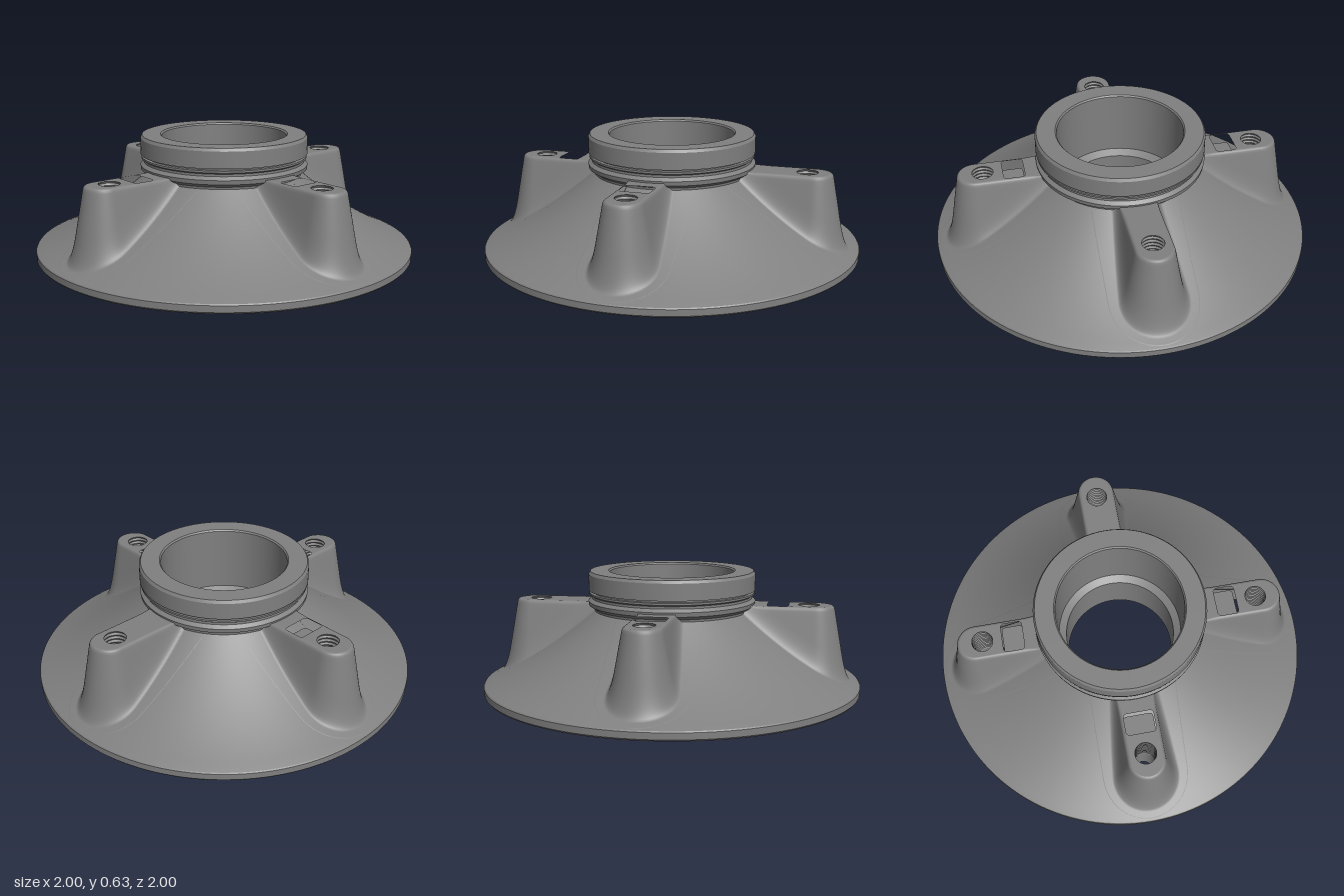
import * as THREE from 'three';
import { toCreasedNormals } from 'three/addons/utils/BufferGeometryUtils.js';

const TOP = 0.462;       // height of the lug tops
const ARM = 0.76;        // centre of each lug's rounded end
const HOLE_R = 0.054, HOLE_X = 0.723;
const POCKET = { x: 0.565, hx: 0.055, hz: 0.077, r: 0.018, floor: 0.405 };

const V = (x, y) => new THREE.Vector2(x, y);
const coneY = r => { const u = Math.max(0, 1 - r); return 0.045 + 0.4 * u + 0.4 * u * u; };

// Height of a lug at distance s from its spine: flat top, rounded shoulder, drafted wall
function lugY(s) {
  if (s <= 0.08) return TOP;
  if (s < 0.097) {
    const t = (s - 0.08) / 0.017;
    return TOP - 0.025 * (1 - Math.sqrt(1 - t * t * 0.98));
  }
  return TOP - 0.022 - (s - 0.097) * 5.4;
}

// Smooth maximum, gives the fillet between lug and cone
function blend(a, b, k) {
  const h = Math.max(k - Math.abs(a - b), 0) / k;
  return Math.max(a, b) + h * h * k / 4;
}

// Surface through rows of points
function loft(rows) {
  const n = rows[0].length, index = [];
  for (let i = 0; i < rows.length - 1; i++) {
    for (let j = 0; j < n - 1; j++) {
      const a = i * n + j, c = a + n;
      index.push(a, a + 1, c, a + 1, c + 1, c);
    }
  }
  const g = new THREE.BufferGeometry();
  g.setAttribute('position', new THREE.Float32BufferAttribute(rows.flat(2), 3));
  g.setIndex(index);
  g.computeVertexNormals();
  return g;
}

// Outline of a lug at distance s from the spine, as [x, z]
function lugOutline(s) {
  const pts = [];
  for (let i = 0; i < 20; i++) pts.push([0.36 + (ARM - 0.36) * i / 20, -s]);
  for (let i = 0; i <= 28; i++) {
    const a = -Math.PI / 2 + Math.PI * i / 28;
    pts.push([ARM + s * Math.cos(a), s * Math.sin(a)]);
  }
  for (let i = 19; i >= 0; i--) pts.push([0.36 + (ARM - 0.36) * i / 20, s]);
  return pts;
}

// Rounded rectangle of the pocket, as [x, z], closed
function pocketOutline() {
  const { x, hx, hz, r } = POCKET, pts = [];
  for (let q = 0; q < 4; q++) {
    const sx = q === 0 || q === 3 ? 1 : -1, sz = q < 2 ? 1 : -1;
    for (let i = 0; i <= 5; i++) {
      const a = (q + i / 5) * Math.PI / 2;
      pts.push([x + sx * (hx - r) + r * Math.cos(a), sz * (hz - r) + r * Math.sin(a)]);
    }
  }
  pts.push(pts[0]);
  return pts;
}

const toPath = (pts, Type) => new Type(pts.map(p => V(p[0], p[1])));
const circle = (x, y, r, Type = THREE.Path) => {
  const p = new Type();
  p.absarc(x, y, r, 0, Math.PI * 2, false);
  return p;
};
const flat = (shape, y, up = true) =>
  new THREE.ShapeGeometry(shape, 64).rotateX(up ? -Math.PI / 2 : Math.PI / 2).translate(0, y, 0);

// Turned body: rim, cone, grooved collar and stepped bore
function bodyGeometry() {
  const pts = [V(0.994, 0), V(1, 0.008), V(1, 0.04), V(0.995, 0.046)];
  for (let i = 1; i <= 30; i++) {
    const r = 0.99 - 0.58 * i / 30;
    pts.push(V(r, coneY(r)));
  }
  pts.push(V(0.412, 0.432), V(0.44, 0.45), V(0.443, 0.472), V(0.425, 0.488), V(0.425, 0.5),
    V(0.437, 0.508), V(0.437, 0.518), V(0.422, 0.52), V(0.422, 0.527), V(0.441, 0.529),
    V(0.441, 0.615), V(0.432, 0.63), V(0.335, 0.63), V(0.328, 0.622), V(0.328, 0.28),
    V(0.29, 0.255), V(0.29, 0));
  const g = new THREE.LatheGeometry(pts, 144);
  // open the cone beneath each lug so the bolt holes pass through
  const p = g.attributes.position, src = g.index.array, keep = [];
  for (let i = 0; i < src.length; i += 3) {
    const t = [src[i], src[i + 1], src[i + 2]];
    const x = t.reduce((s, k) => s + p.getX(k), 0) / 3;
    const z = t.reduce((s, k) => s + p.getZ(k), 0) / 3;
    const along = Math.max(Math.abs(x), Math.abs(z)), across = Math.min(Math.abs(x), Math.abs(z));
    if (Math.hypot(along - HOLE_X, across) > 0.1) keep.push(...t);
  }
  g.setIndex(keep);
  return toCreasedNormals(g, 0.35);
}

// Filleted outer skin of a lug
function lugGeometry() {
  const levels = [0.08, 0.085, 0.09, 0.094, 0.097];
  for (let i = 1; i <= 26; i++) levels.push(0.097 + 0.133 * i / 26);
  return loft(levels.map((s, i) => lugOutline(s).map(([x, z]) => {
    const c = coneY(Math.hypot(x, z));
    const y = Math.min(TOP, blend(lugY(s), c, 0.13));
    return [x, i === levels.length - 1 ? c - 0.003 : y, z];
  })));
}

// Threaded bolt hole, open at both ends
function holeGeometry() {
  const pts = [V(HOLE_R, TOP)];
  for (let y = TOP - 0.01; y > 0.2; y -= 0.02) pts.push(V(HOLE_R + 0.006, y), V(HOLE_R, y - 0.01));
  pts.push(V(HOLE_R, 0));
  return toCreasedNormals(new THREE.LatheGeometry(pts, 32), 0.4).translate(HOLE_X, 0, 0);
}

export function createModel() {
  const model = new THREE.Group();
  const grey = new THREE.MeshStandardMaterial({ color: 0x808080 });
  grey.name = 'cast grey';
  const add = (parent, name, geometry) => {
    const m = new THREE.Mesh(geometry, grey);
    m.name = name;
    parent.add(m);
  };

  add(model, 'body', bodyGeometry());

  // Underside with bore and bolt holes
  const base = circle(0, 0, 0.994, THREE.Shape);
  base.holes.push(circle(0, 0, 0.29));
  for (let k = 0; k < 4; k++) {
    const a = k * Math.PI / 2;
    base.holes.push(circle(HOLE_X * Math.cos(a), HOLE_X * Math.sin(a), HOLE_R));
  }
  add(model, 'underside', flat(base, 0, false));

  // Four lugs; the back one has no pocket
  const skin = lugGeometry(), hole = holeGeometry(), pocket = pocketOutline();
  const names = ['leftLug', 'backLug', 'rightLug', 'frontLug'];
  names.forEach((name, k) => {
    const lug = new THREE.Group();
    lug.name = name;
    lug.rotation.y = k * Math.PI / 2;
    add(lug, 'lugWall', skin);
    add(lug, 'boltHole', hole);
    const top = toPath(lugOutline(0.08), THREE.Shape);
    top.holes.push(circle(HOLE_X, 0, HOLE_R));
    if (name !== 'backLug') {
      top.holes.push(toPath(pocket, THREE.Path));
      const ring = y => pocket.map(([x, z]) => [x, y, z]);
      add(lug, 'pocketWall', toCreasedNormals(loft([ring(TOP), ring(POCKET.floor)]), 0.5));
      add(lug, 'pocketFloor', flat(toPath(pocket, THREE.Shape), POCKET.floor));
    }
    add(lug, 'lugTop', flat(top, TOP));
    model.add(lug);
  });
  return model;
}
